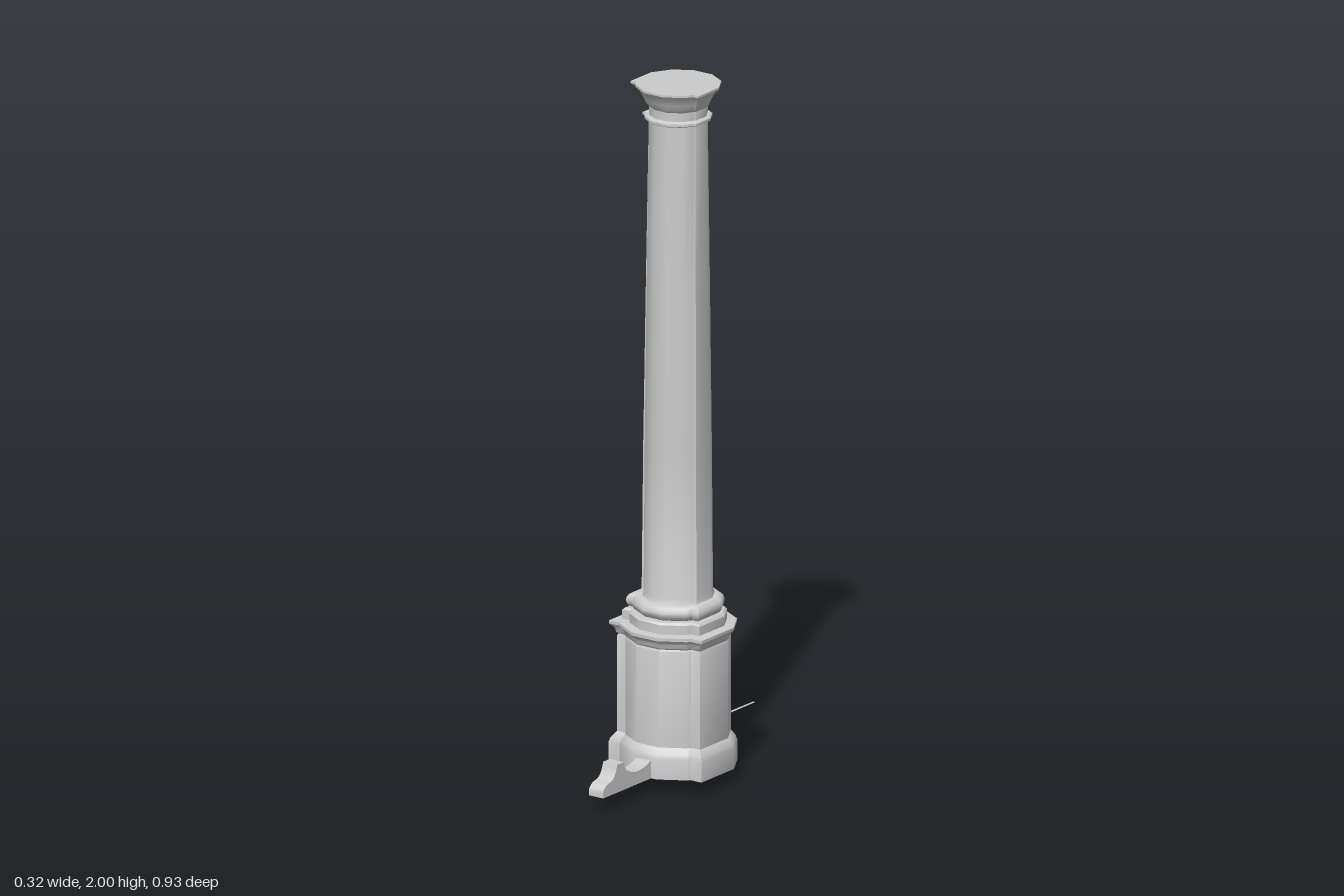
import * as THREE from 'three';
import { toCreasedNormals } from 'three/addons/utils/BufferGeometryUtils.js';

const CZ = 0.085; // column axis

// Twelve-sided plan of half-width r, with a square pilaster on each front corner
function outline(r) {
  const s = r - 0.05, t = Math.max(0.05, (s / r - 0.268) / 0.464);
  const half = [
    [0.268 * r, -r], [0.732 * r, -0.732 * r], [r, -0.268 * r],
    [r, s], [r * (1 - 0.268 * t), s], [0.732 * r, 0.732 * r], [0.268 * r, r],
  ];
  return [...half, ...half.map(([x, z]) => [-x, z]).reverse()];
}

// Stack outlines along a profile of [half-width, height], closed at both ends
function loft(profile) {
  const pos = [], idx = [], n = outline(0.1).length;
  for (const [r, y] of profile) for (const [x, z] of outline(r)) pos.push(x, y, z + CZ);
  const last = profile.length - 1;
  const bottom = n * profile.length, top = bottom + 1;
  pos.push(0, profile[0][1], CZ, 0, profile[last][1], CZ);
  for (let j = 0; j < n; j++) {
    const k = (j + 1) % n;
    for (let i = 0; i < last; i++) {
      const a = i * n + j, b = i * n + k, c = a + n, d = b + n;
      idx.push(a, c, b, b, c, d);
    }
    idx.push(bottom, j, k, top, last * n + k, last * n + j);
  }
  const g = new THREE.BufferGeometry();
  g.setAttribute('position', new THREE.Float32BufferAttribute(pos, 3));
  g.setIndex(idx);
  return toCreasedNormals(g, 0.62);
}

export function createModel() {
  const group = new THREE.Group();
  const grey = new THREE.MeshStandardMaterial({ name: 'pale grey', color: 0xcccccc });
  const brass = new THREE.MeshStandardMaterial({ name: 'dark brass', color: 0x85781f });

  const add = (name, geo, mat = grey, x = 0, y = 0, z = 0) => {
    const m = new THREE.Mesh(geo, mat);
    m.name = name;
    m.position.set(x, y, z);
    group.add(m);
    return m;
  };

  // Column, from the ground up
  add('plinth', loft([[0.158, 0.042], [0.158, 0.1], [0.154, 0.112], [0.145, 0.125], [0.14, 0.13]]));
  add('pedestal', loft([[0.141, 0.125], [0.141, 0.405], [0.136, 0.415]]));
  add('cornice', loft([[0.136, 0.408], [0.143, 0.415], [0.146, 0.428], [0.157, 0.44], [0.157, 0.449], [0.135, 0.452]]));
  add('baseStep', loft([[0.131, 0.449], [0.131, 0.478], [0.125, 0.484]]));
  const torus = [];
  for (let i = 0; i <= 8; i++) {
    const a = -Math.PI / 2 + i * Math.PI / 8;
    torus.push([0.104 + 0.02 * Math.cos(a), 0.506 + 0.022 * Math.sin(a)]);
  }
  add('baseTorus', loft(torus));
  add('shaft', loft([[0.098, 0.525], [0.093, 0.54], [0.09, 0.95], [0.085, 1.4], [0.079, 1.9]]));
  add('neckRing', loft([[0.084, 1.898], [0.091, 1.902], [0.091, 1.909], [0.084, 1.913]]));
  add('capital', loft([[0.079, 1.91], [0.079, 1.938], [0.086, 1.946], [0.093, 1.962], [0.102, 1.98], [0.115, 1.994], [0.115, 2]]));

  // Scrolled foot at the front
  const foot = new THREE.Shape();
  foot.moveTo(0.22, 0.042);
  foot.lineTo(0.465, 0.042);
  foot.lineTo(0.465, 0.06);
  foot.quadraticCurveTo(0.455, 0.078, 0.435, 0.079);
  foot.quadraticCurveTo(0.41, 0.082, 0.4, 0.122);
  foot.lineTo(0.37, 0.122);
  foot.quadraticCurveTo(0.365, 0.085, 0.31, 0.079);
  foot.quadraticCurveTo(0.27, 0.08, 0.25, 0.092);
  foot.lineTo(0.22, 0.092);
  const footGeo = new THREE.ExtrudeGeometry(foot, { depth: 0.048, bevelEnabled: false, curveSegments: 6 });
  footGeo.rotateY(-Math.PI / 2);
  add('frontFoot', toCreasedNormals(footGeo, 0.6), grey, 0.024);

  // Handle on the back of the pedestal
  add('handlePlate', new THREE.BoxGeometry(0.085, 0.024, 0.022), grey, 0, 0.326, -0.064);
  add('handleGrip', new THREE.BoxGeometry(0.05, 0.026, 0.014), grey, 0, 0.305, -0.06);
  add('backPin', new THREE.BoxGeometry(0.012, 0.01, 0.008), grey, 0, 0.388, -0.057);

  // Slender flattened rod trailing behind on the right
  const rodProfile = [[0, 0], [0.004, 0], [0.005, 0.06], [0.008, 0.15], [0.008, 0.2], [0.004, 0.3], [0.003, 0.497], [0, 0.497]]
    .map(([r, l]) => new THREE.Vector2(r, l));
  const rod = new THREE.LatheGeometry(rodProfile, 10);
  rod.rotateX(-Math.PI / 2);
  rod.scale(1, 0.6, 1);
  add('rod', rod, grey, -0.148, 0.042, 0.03);

  // Brass fitting under the plinth
  const knob = [[0, 0], [0.014, 0], [0.018, 0.006], [0.018, 0.014], [0.01, 0.02], [0.01, 0.03], [0.019, 0.036], [0.019, 0.044]]
    .map(([r, y]) => new THREE.Vector2(r, y));
  add('brassKnob', toCreasedNormals(new THREE.LatheGeometry(knob, 16), 0.6), brass, 0, 0, CZ);
  add('brassLever', new THREE.BoxGeometry(0.065, 0.006, 0.03), brass, -0.018, 0.01, CZ);

  return group;
}
